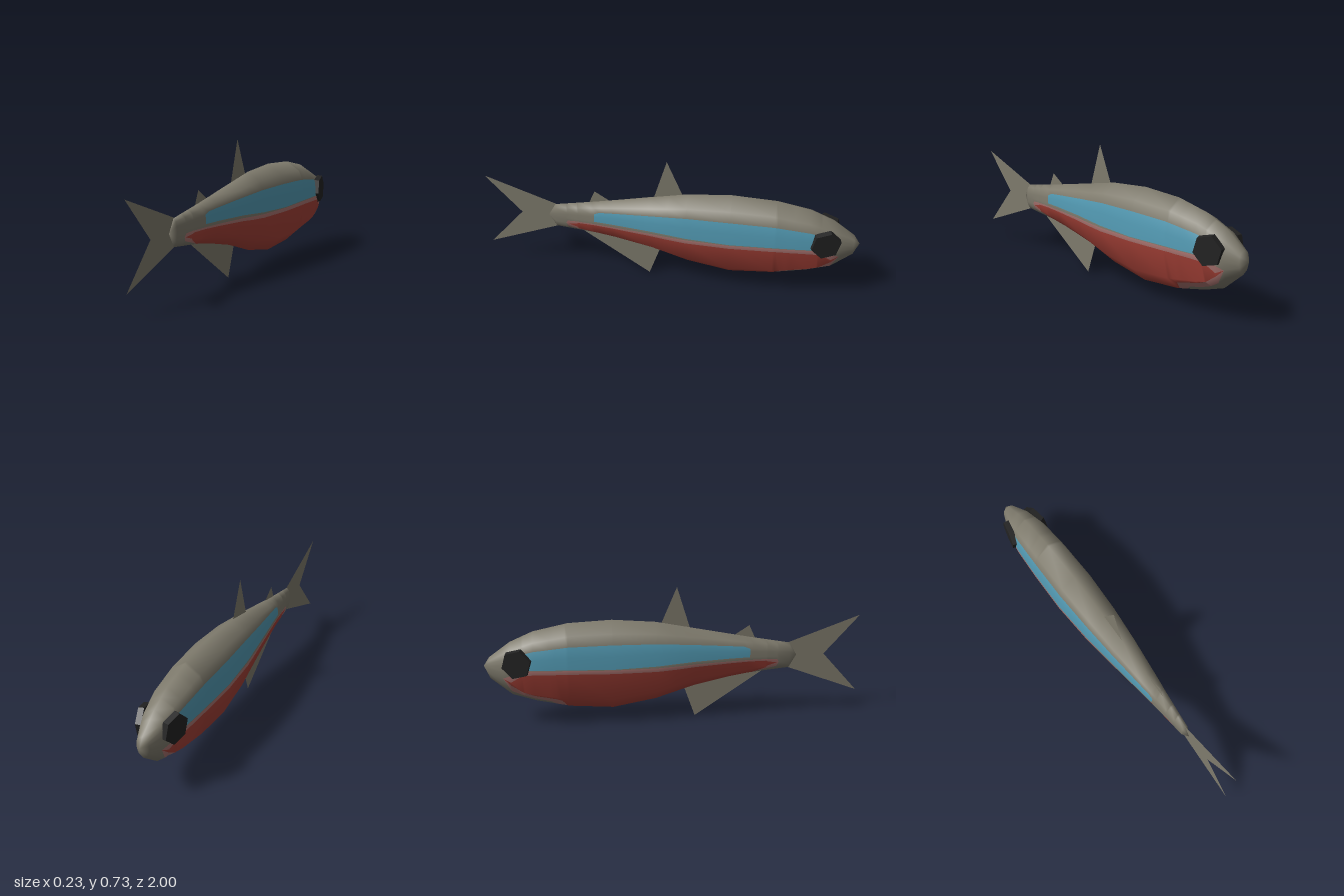
import * as THREE from 'three';
import { mergeVertices } from 'three/addons/utils/BufferGeometryUtils.js';

// Linear interpolation in rows of [key, a, b, ...]
function sample(table, t) {
  if (t <= table[0][0]) return table[0].slice(1);
  for (let i = 1; i < table.length; i++) {
    const p = table[i - 1], q = table[i];
    if (t <= q[0]) {
      const f = (t - p[0]) / (q[0] - p[0]);
      return p.slice(1).map((v, k) => v + (q[k + 1] - v) * f);
    }
  }
  return table[table.length - 1].slice(1);
}

// Body sections from nose to tail: z, bottom, top, half width
const SECTIONS = [
  [-1, 0.33, 0.33, 0], [-0.97, 0.26, 0.377, 0.035], [-0.86, 0.165, 0.457, 0.08],
  [-0.74, 0.125, 0.51, 0.1], [-0.56, 0.085, 0.548, 0.11], [-0.33, 0.068, 0.559, 0.114],
  [-0.1, 0.11, 0.54, 0.102], [0.1, 0.175, 0.5, 0.083], [0.3, 0.22, 0.46, 0.058],
  [0.4, 0.237, 0.44, 0.045], [0.62, 0.26, 0.4, 0.02], [0.66, 0.33, 0.33, 0],
];
// Cross-section: relative height, relative width
const PROFILE = [[0, 0], [0.15, 0.7], [0.44, 1], [0.55, 1], [0.66, 0.96], [0.78, 0.87], [0.89, 0.7], [1, 0]];
// Belly marking edges as relative heights: z, pinkLow, redLow, redTop, pinkTop
const MARKINGS = [
  [-0.9, 0.33, 0.33, 0.33, 0.33], [-0.86, 0.12, 0.25, 0.31, 0.45], [-0.8, 0.06, 0.15, 0.45, 0.52],
  [-0.74, 0.05, 0.12, 0.46, 0.52], [-0.66, 0.04, 0.11, 0.465, 0.515], [-0.63, 0, 0.105, 0.465, 0.515],
  [-0.6, 0, 0.09, 0.47, 0.515], [-0.575, 0, 0, 0.47, 0.515], [-0.33, 0, 0, 0.47, 0.51],
  [0, 0, 0, 0.42, 0.47], [0.3, 0, 0, 0.39, 0.44], [0.42, 0, 0, 0.38, 0.43],
  [0.49, 0.08, 0.14, 0.37, 0.43], [0.5, 0.1, 0.2, 0.34, 0.43], [0.55, 0.15, 0.28, 0.28, 0.41],
  [0.56, 0.3, 0.3, 0.3, 0.3],
];
const BLUE_FROM = -0.79, BLUE_TO = 0.4;

function bodyGeometry() {
  const zs = [...new Set([...SECTIONS, ...MARKINGS].map(r => r[0]).concat(BLUE_FROM, BLUE_TO, 0.37))].sort((a, b) => a - b);
  const rowsAt = z => {
    const [pinkLow, redLow, redTop, pinkTop] = sample(MARKINGS, z);
    const mid = Math.min(Math.max(0.15, redLow), redTop);
    const blueLow = Math.max(pinkTop + 0.008, 0.505);
    // The blue band tapers at its tail end
    const blueTop = z >= BLUE_TO ? 0.73 : 0.78;
    return [0, Math.min(0.15, pinkLow), pinkLow, redLow, mid, redTop, pinkTop, blueLow, 0.66, blueTop, 0.89, 1];
  };
  // Colour of each strip: 0 grey, 1 pink, 2 red, 3 blue
  const strips = [0, 0, 1, 2, 2, 1, 0, 3, 3, 0, 0];
  const point = (z, v, s) => {
    const [bottom, top, width] = sample(SECTIONS, z);
    return new THREE.Vector3(s * width * sample(PROFILE, v)[0], bottom + (top - bottom) * v, z);
  };
  const faces = [[], [], [], []];
  const addTri = (list, a, b, c) => {
    const area = b.clone().sub(a).cross(c.clone().sub(a)).length();
    if (area > 1e-8) [a, b, c].forEach(p => list.push(p.x, p.y, p.z));
  };
  for (const s of [1, -1]) {
    for (let i = 0; i < zs.length - 1; i++) {
      const r0 = rowsAt(zs[i]), r1 = rowsAt(zs[i + 1]);
      strips.forEach((colour, j) => {
        const zMid = (zs[i] + zs[i + 1]) / 2;
        const c = colour === 3 && (zMid < BLUE_FROM || zMid > BLUE_TO) ? 0 : colour;
        const p = [point(zs[i], r0[j], s), point(zs[i], r0[j + 1], s),
          point(zs[i + 1], r1[j + 1], s), point(zs[i + 1], r1[j], s)];
        if (s < 0) p.reverse();
        addTri(faces[c], p[0], p[1], p[2]);
        addTri(faces[c], p[0], p[2], p[3]);
      });
    }
  }
  let geometry = new THREE.BufferGeometry();
  geometry.setAttribute('position', new THREE.Float32BufferAttribute(faces.flat(), 3));
  let start = 0;
  faces.forEach((f, k) => {
    geometry.addGroup(start, f.length / 3, k);
    start += f.length / 3;
  });
  geometry = mergeVertices(geometry, 1e-5);
  geometry.computeVertexNormals();
  return geometry;
}

export function createModel() {
  const group = new THREE.Group();
  const material = (name, color) => {
    const m = new THREE.MeshStandardMaterial({ color });
    m.name = name;
    return m;
  };
  const grey = material('greyScales', 0x7f7b6d);
  grey.side = THREE.DoubleSide;
  const pink = material('pinkEdge', 0xad7672);
  const red = material('redBelly', 0xa84238);
  const blue = material('blueStripe', 0x5299b2);
  const black = material('blackEye', 0x222222);

  const add = (name, geometry, mat) => {
    const mesh = new THREE.Mesh(geometry, mat);
    mesh.name = name;
    group.add(mesh);
    return mesh;
  };

  add('body', bodyGeometry(), [grey, pink, red, blue]);

  // Flat fins in the middle plane, outlines as [z, y]
  const fins = {
    tailFin: [[0.61, 0.4], [1, 0.543], [0.81, 0.33], [1, 0.115], [0.61, 0.262]],
    dorsalFin: [[-0.07, 0.53], [0.013, 0.725], [0.085, 0.49]],
    smallBackFin: [[0.3, 0.44], [0.4, 0.505], [0.435, 0.425]],
    bellyFin: [[0.04, 0.2], [0.11, 0], [0.48, 0.25]],
  };
  for (const [name, outline] of Object.entries(fins)) {
    const shape = new THREE.Shape(outline.map(([z, y]) => new THREE.Vector2(-z, y)));
    add(name, new THREE.ShapeGeometry(shape).rotateY(Math.PI / 2), grey);
  }

  // Six-sided eyes lying on the sides of the head
  for (const s of [1, -1]) {
    const disc = new THREE.CylinderGeometry(0.078, 0.082, 0.03, 6).toNonIndexed();
    disc.rotateY(0.25);
    disc.rotateZ(-s * Math.PI / 2);
    disc.rotateY(s * 0.22);
    disc.computeVertexNormals();
    add(s > 0 ? 'leftEye' : 'rightEye', disc, black).position.set(s * 0.083, 0.36, -0.826);
  }
  return group;
}
